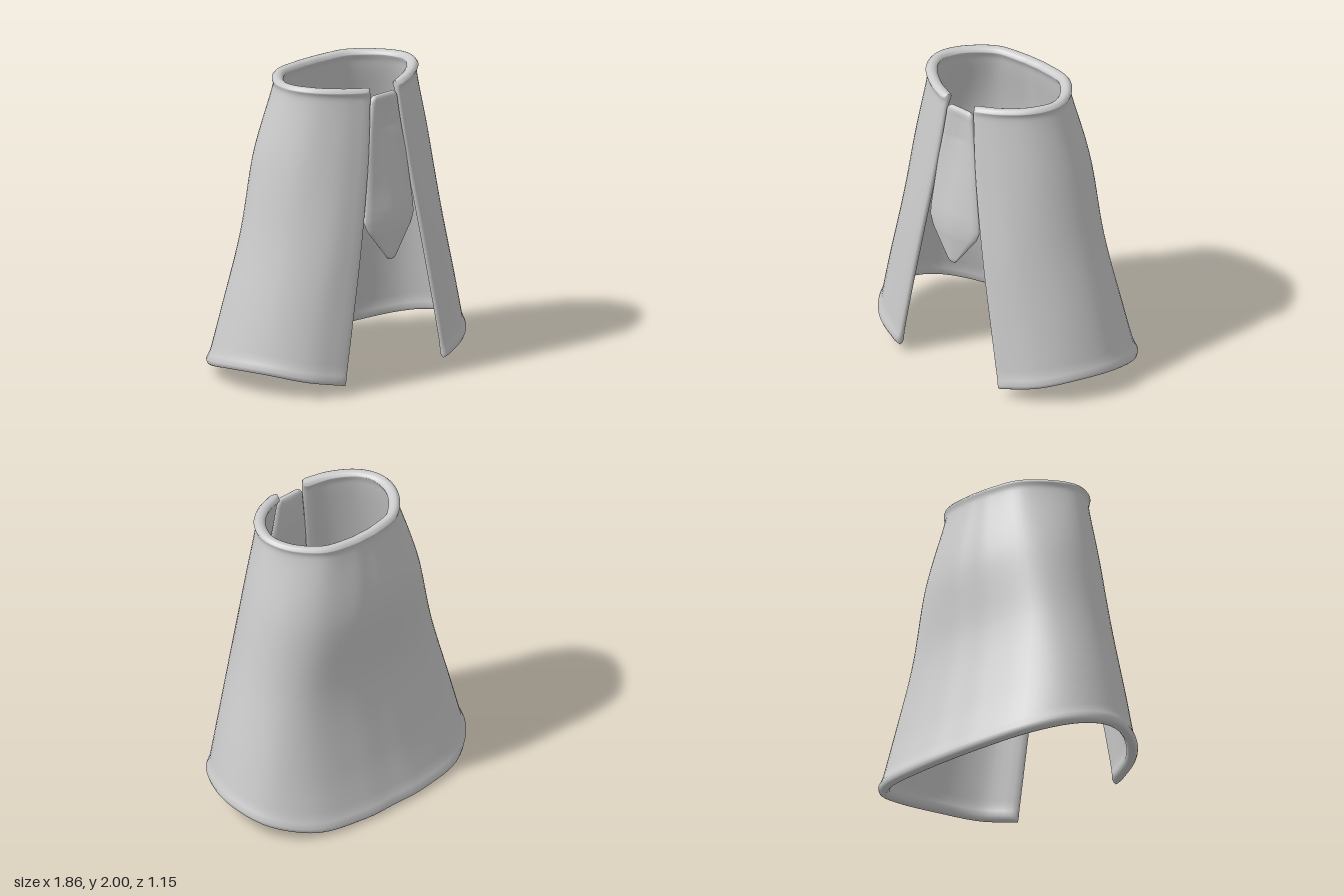
import * as THREE from 'three';
import { mergeVertices } from 'three/addons/utils/BufferGeometryUtils.js';

const V = (x, y, z) => new THREE.Vector3(x, y, z);

// Parameter samples from 0 to 1, denser inside the rounded borders r0 and r1
function samples(n, r0, r1) {
  const out = [], k = 4;
  const arc = i => 1 - Math.cos((i / k) * Math.PI / 2);
  for (let i = 0; i < k; i++) out.push(r0 * (1 - Math.cos(Math.asin(arc(i)))) + r0 * arc(i) * 0.3 * (1 - i / k));
  for (let i = 0; i <= n; i++) out.push(r0 + (1 - r0 - r1) * i / n);
  for (let i = k - 1; i >= 0; i--) out.push(1 - r1 * (1 - Math.cos(Math.asin(arc(i)))) - r1 * arc(i) * 0.3 * (1 - i / k));
  return out;
}

// Rounded-edge factor: 0 on the border, 1 past the radius
const round = (d, r) => d >= r ? 1 : Math.sqrt(Math.max(0, 1 - (1 - d / r) ** 2));
// Extra swelling just inside a hem
const hem = (d, r) => 1 + 0.5 * (1 - THREE.MathUtils.smoothstep(d, r, r * 3));

// Solid sheet: front and back skins around surface(u, v), closing along a rounded border
function thickSheet(surface, us, vs, o) {
  const pos = [], idx = [], e = 1e-3, nu = us.length, nv = vs.length;
  for (const side of [1, -1]) {
    const base = pos.length / 3;
    for (const v of vs) for (const u of us) {
      const du = surface(Math.min(1, u + e), v).sub(surface(Math.max(0, u - e), v));
      const dv = surface(u, Math.min(1, v + e)).sub(surface(u, Math.max(0, v - e)));
      const n = du.cross(dv).normalize();
      const f = round(Math.min(u, 1 - u), o.ru) * round(v, o.r0) * round(1 - v, o.r1);
      const swell = o.hem ? hem(v, o.r0) * hem(1 - v, o.r1) : 1;
      const p = surface(u, v).addScaledVector(n, o.t / 2 * (side * f * swell - (o.inset ?? 0)));
      pos.push(p.x, p.y, p.z);
    }
    for (let j = 0; j < nv - 1; j++) for (let i = 0; i < nu - 1; i++) {
      const a = base + j * nu + i, b = a + 1, c = b + nu, d = a + nu;
      if (side > 0) idx.push(a, b, c, a, c, d);
      else idx.push(a, c, b, a, d, c);
    }
  }
  let g = new THREE.BufferGeometry();
  g.setAttribute('position', new THREE.Float32BufferAttribute(pos, 3));
  g.setIndex(idx);
  g = mergeVertices(g, 1e-5);
  g.computeVertexNormals();
  return g;
}

// Half cross-sections [x, z] from the front edge round to the middle of the back
const sections = [
  [[.435, .57], [.68, .46], [.85, .25], [.925, -.02], [.85, -.3], [.6, -.505], [.25, -.57], [0, -.575]],
  [[.365, .56], [.6, .45], [.77, .25], [.84, 0], [.77, -.25], [.55, -.41], [.22, -.465], [0, -.47]],
  [[.27, .54], [.48, .45], [.65, .26], [.725, .03], [.67, -.18], [.5, -.32], [.2, -.375], [0, -.38]],
  [[.18, .505], [.38, .42], [.55, .26], [.625, .05], [.58, -.15], [.42, -.3], [.17, -.37], [0, -.375]],
  [[.13, .47], [.31, .39], [.46, .26], [.53, .08], [.47, -.1], [.32, -.25], [.12, -.3], [0, -.305]],
  [[.12, .455], [.3, .385], [.45, .26], [.51, .1], [.46, -.08], [.3, -.24], [.1, -.285], [0, -.288]],
];
const levels = [0, .2, .46, .73, .94, 1];
const hemY = [.06, .11, .15, .145, .09, .03, .01, .01];
const collarY = [1.975, 1.99, 2, 2, 1.99, 1.985, 1.98, 1.98];

function cloakGeometry() {
  const rings = sections.map((s, k) => {
    const half = s.map(([x, z], i) => V(x, THREE.MathUtils.lerp(hemY[i], collarY[i], levels[k]), z));
    const mirrored = half.slice(0, -1).reverse().map(p => V(-p.x, p.y, p.z));
    return new THREE.CatmullRomCurve3([...half, ...mirrored], false, 'catmullrom');
  });
  const columns = new Map();
  const surface = (u, v) => {
    if (!columns.has(u)) columns.set(u, new THREE.CatmullRomCurve3(rings.map(r => r.getPoint(u)), false, 'catmullrom'));
    return columns.get(u).getPoint(v);
  };
  const o = { t: .05, ru: .01, r0: .016, r1: .055, hem: true, inset: 1 };
  return thickSheet(surface, samples(70, o.ru, o.ru), samples(50, o.r0, o.r1), o);
}

// Neck tie rows: y, half width, z at the middle, z at the edge
const tieRows = [
  [.81, .012, .5, .5], [.85, .045, .508, .5], [1.03, .185, .525, .492], [1.09, .208, .525, .488],
  [1.16, .204, .52, .486], [1.5, .165, .465, .468], [1.7, .135, .435, .455], [1.85, .113, .435, .445],
  [1.89, .108, .44, .442], [1.915, .085, .44, .44],
];

function tieGeometry() {
  const surface = (u, v) => {
    const y = THREE.MathUtils.lerp(tieRows[0][0], tieRows.at(-1)[0], v);
    let k = 0;
    while (k < tieRows.length - 2 && y > tieRows[k + 1][0]) k++;
    const a = tieRows[k], b = tieRows[k + 1], t = (y - a[0]) / (b[0] - a[0]);
    const [w, zm, ze] = [1, 2, 3].map(i => THREE.MathUtils.lerp(a[i], b[i], t));
    const s = 2 * u - 1;
    return V(s * w, y, THREE.MathUtils.lerp(zm, ze, Math.abs(s) ** 1.4));
  };
  const o = { t: .045, ru: .07, r0: .02, r1: .02 };
  return thickSheet(surface, samples(16, o.ru, o.ru), samples(50, o.r0, o.r1), o);
}

export function createModel() {
  const group = new THREE.Group();
  group.name = 'cloakWithTie';
  const material = new THREE.MeshStandardMaterial({ color: 0xcccccc, side: THREE.DoubleSide });
  const parts = { cloak: cloakGeometry(), neckTie: tieGeometry() };
  for (const [name, geometry] of Object.entries(parts)) {
    const mesh = new THREE.Mesh(geometry, material);
    mesh.name = name;
    group.add(mesh);
  }
  return group;
}
